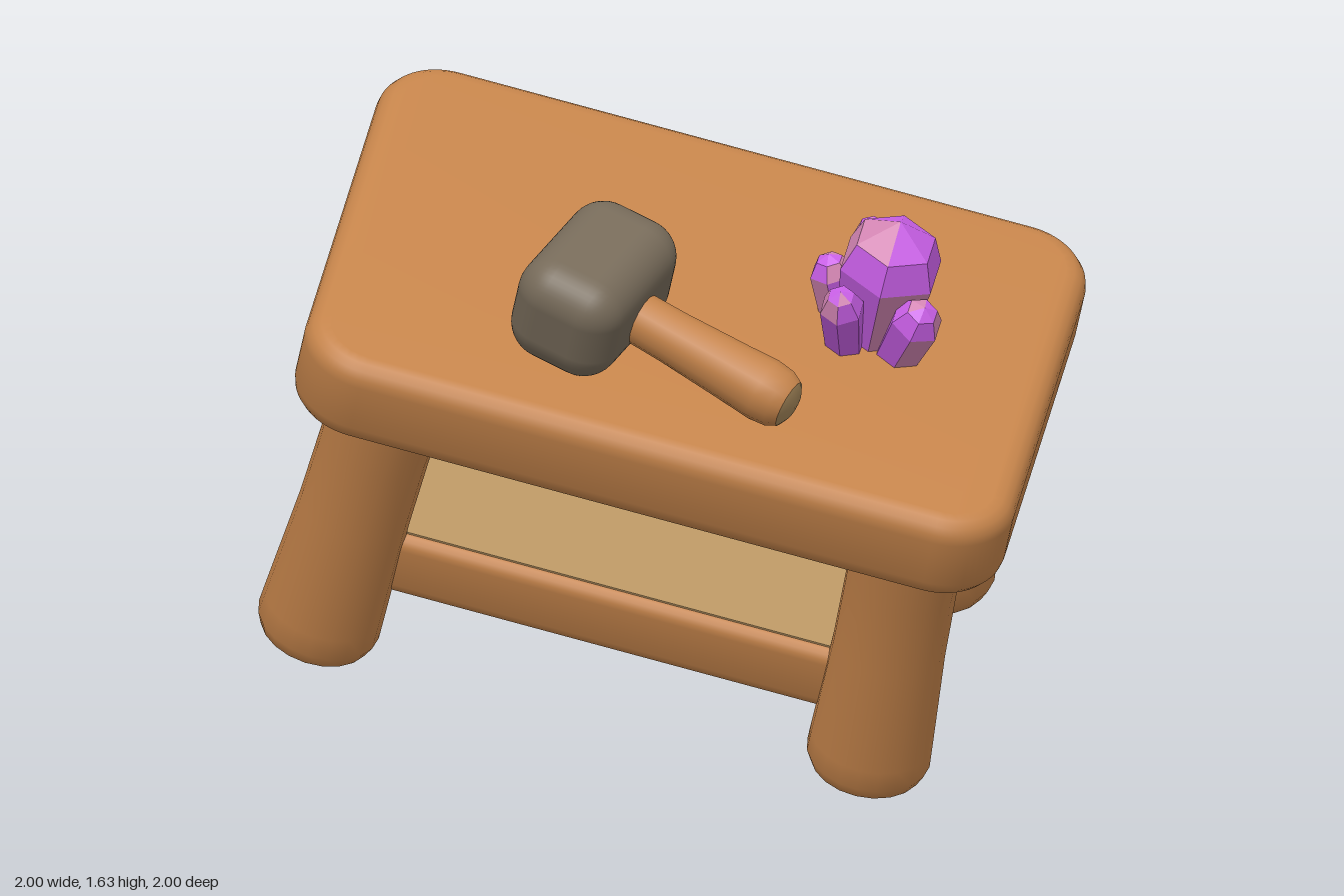
import * as THREE from 'three';
import { toCreasedNormals } from 'three/addons/utils/BufferGeometryUtils.js';
import { RoundedBoxGeometry } from 'three/addons/geometries/RoundedBoxGeometry.js';

const V = (x, y, z) => new THREE.Vector3(x, y, z);
const UP = V(0, 1, 0);

function material(name, color) {
  const m = new THREE.MeshStandardMaterial({ color });
  m.name = name;
  return m;
}

// Horizontal slab with rounded corners and softened edges, from y0 to y1
function slab(halfX, halfZ, corner, bevel, y0, y1) {
  const a = halfX - bevel, b = halfZ - bevel, r = corner - bevel;
  const s = new THREE.Shape();
  s.absarc(a - r, b - r, r, 0, Math.PI / 2);
  s.absarc(-a + r, b - r, r, Math.PI / 2, Math.PI);
  s.absarc(-a + r, -b + r, r, Math.PI, Math.PI * 1.5);
  s.absarc(a - r, -b + r, r, Math.PI * 1.5, Math.PI * 2);
  const g = new THREE.ExtrudeGeometry(s, {
    depth: y1 - y0 - 2 * bevel, bevelEnabled: bevel > 0, bevelSize: bevel,
    bevelThickness: bevel, bevelSegments: 4, curveSegments: 8,
  });
  g.rotateX(-Math.PI / 2).translate(0, y0 + bevel, 0);
  return toCreasedNormals(g, 0.7);
}

// Turned piece along the line from one point to another; profile is [radius, fraction of length]
function turned(profile, from, to, sides) {
  const dir = to.clone().sub(from), len = dir.length();
  const g = new THREE.LatheGeometry(profile.map(([r, t]) => new THREE.Vector2(r, t * len)), sides);
  g.applyQuaternion(new THREE.Quaternion().setFromUnitVectors(UP, dir.normalize()));
  return g.translate(from.x, from.y, from.z);
}

export function createModel() {
  const wood = material('wood', 0xc4834a);
  const paleWood = material('paleWood', 0xb89462);
  const stone = material('stone', 0x766a59);
  const handleTip = material('handleTip', 0xa5875a);
  const purple = material('purpleCrystal', 0xca60e8);
  const pink = material('pinkCrystal', 0xd486b4);

  const model = new THREE.Group();
  const table = new THREE.Group();
  table.name = 'table';
  const add = (name, geometry, mat, parent = table) => {
    const mesh = new THREE.Mesh(geometry, mat);
    mesh.name = name;
    parent.add(mesh);
    return mesh;
  };

  // Table top
  add('tableTop', slab(0.882, 0.594, 0.17, 0.055, 0.948, 1.185), wood);

  // Shelf with a paler board on its upper face
  const shelf = new THREE.Group();
  shelf.name = 'shelf';
  shelf.position.set(-0.015, 0, -0.005);
  table.add(shelf);
  add('shelfPlank', slab(0.715, 0.42, 0.07, 0.035, 0.367, 0.545), wood, shelf);
  add('shelfBoard', slab(0.685, 0.39, 0.05, 0, 0.543, 0.549), paleWood, shelf);

  // Splayed legs
  const legProfile = [[0, 0], [0.105, 0], [0.137, 0.02], [0.151, 0.06], [0.149, 0.13],
    [0.137, 0.5], [0.136, 0.75], [0.145, 1]];
  const feet = {
    frontLeg: V(0.67, 0.22, 0.40), rightLeg: V(0.68, 0.17, -0.38),
    backLeg: V(-0.72, 0.15, -0.43), leftLeg: V(-0.695, 0.18, 0.41),
  };
  for (const [name, foot] of Object.entries(feet)) {
    const top = V(Math.sign(foot.x) * 0.645, 1.0, Math.sign(foot.z) * 0.37);
    add(name, turned(legProfile, foot, top, 20), wood);
  }

  // Hammer lying on the table
  const hammer = new THREE.Group();
  hammer.name = 'hammer';
  hammer.position.set(-0.238, 0, 0.222);
  hammer.rotation.y = -0.297;
  table.add(hammer);
  const head = add('hammerHead', new RoundedBoxGeometry(0.28, 0.28, 0.425, 5, 0.092), stone, hammer);
  head.position.y = 1.31;
  const start = V(0.08, 1.295, 0), end = V(0.57, 1.255, 0);
  add('hammerHandle', turned([[0.064, 0], [0.066, 0.3], [0.074, 0.65], [0.079, 0.82], [0.074, 0.91],
    [0.06, 0.965]], start, end, 14), wood, hammer);
  add('handleTip', turned([[0.06, 0.965], [0.034, 0.993], [0, 1]], start, end, 14),
    handleTip, hammer);

  // Six-sided crystals with some pink facets
  const crystals = new THREE.Group();
  crystals.name = 'crystals';
  table.add(crystals);
  const center = V(0.43, 1.17, -0.06);
  const list = [ // tip x, y, z, radius
    [0.43, 1.52, -0.065, 0.13], [0.49, 1.37, -0.20, 0.06], [0.356, 1.39, -0.21, 0.055],
    [0.277, 1.34, -0.09, 0.055], [0.335, 1.385, 0.085, 0.055], [0.54, 1.38, 0.055, 0.065],
  ];
  list.forEach(([x, y, z, r], n) => {
    const tip = V(x, y, z);
    const base = n === 0 ? center : V(x, 1.165, z).lerp(V(center.x, 1.165, center.z), 0.4);
    const profile = n === 0
      ? [[r * 0.75, 0], [r, 0.6], [r * 0.78, 0.82], [0, 1]]
      : [[r * 0.85, 0], [r, 0.72], [r * 0.6, 0.92], [0, 1]];
    const g = turned(profile, base, tip, 6).toNonIndexed();
    g.computeVertexNormals();
    const facets = g.attributes.position.count / 6;
    const pinkShare = n === 0 ? 3 : 2;
    for (let k = 0; k < facets; k++) g.addGroup(k * 6, 6, (k * 5 + n * 3) % 7 < pinkShare ? 1 : 0);
    add('crystal', g, [purple, pink], crystals);
  });

  // Turn the table about its own upright axis, then tip it forward
  table.rotation.y = -Math.PI / 6;
  table.position.z = -0.385;
  const tilt = new THREE.Group();
  tilt.name = 'tiltedTable';
  tilt.rotation.x = THREE.MathUtils.degToRad(29);
  tilt.add(table);
  model.add(tilt);
  return model;
}
